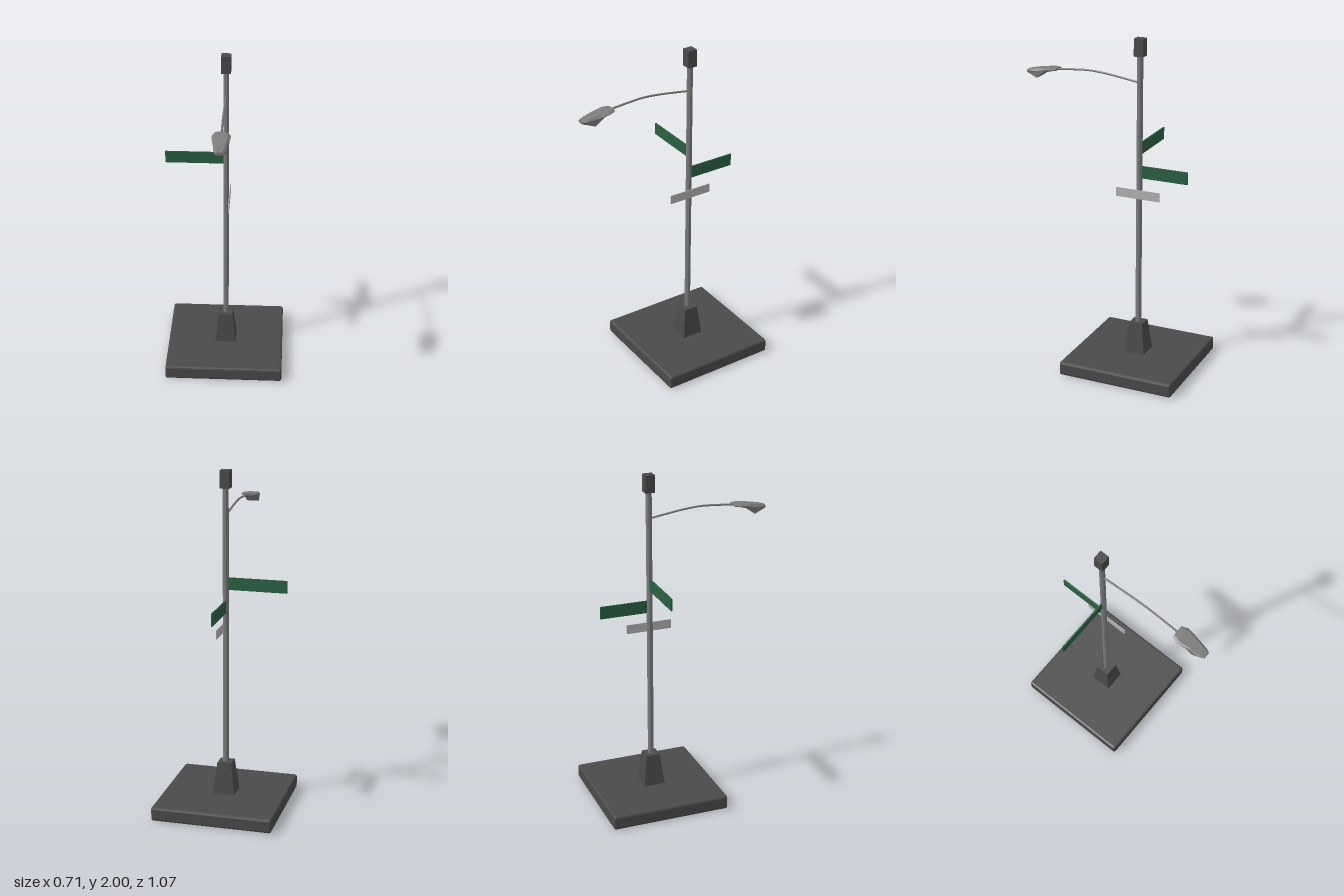
import * as THREE from 'three';
import { RoundedBoxGeometry } from 'three/addons/geometries/RoundedBoxGeometry.js';

const POST_Z = -0.178;

// faceted normals for a crisp low-poly look
function facet(geometry) {
  const g = geometry.index ? geometry.toNonIndexed() : geometry;
  g.computeVertexNormals();
  return g;
}

// closed solid from six-sided sections: [z, yTop, yMid, yBottom, halfTop, halfMid, halfBottom]
function loft(sections) {
  const rings = sections.map(([z, yt, ym, yb, wt, wm, wb]) => [
    [wb, yb, z], [wm, ym, z], [wt, yt, z], [-wt, yt, z], [-wm, ym, z], [-wb, yb, z],
  ]);
  const n = 6, last = (rings.length - 1) * n, index = [];
  for (let i = 0; i < rings.length - 1; i++) {
    for (let j = 0; j < n; j++) {
      const a = i * n + j, b = i * n + (j + 1) % n;
      index.push(a, b, a + n, b, b + n, a + n);
    }
  }
  for (let j = 1; j < n - 1; j++) {
    index.push(0, j + 1, j);
    index.push(last, last + j, last + j + 1);
  }
  const g = new THREE.BufferGeometry();
  g.setAttribute('position', new THREE.Float32BufferAttribute(rings.flat(2), 3));
  g.setIndex(index);
  return facet(g);
}

export function createModel() {
  const model = new THREE.Group();
  model.name = 'streetLight';

  const material = (name, color) => {
    const m = new THREE.MeshStandardMaterial({ color });
    m.name = name;
    return m;
  };
  const darkGrey = material('darkGrey', 0x4a4a4a);
  const steel = material('steel', 0x7c7c7c);
  const green = material('signGreen', 0x2a6040);
  const paleGrey = material('paleGrey', 0xb2b2b2);

  const add = (name, geometry, mat, x = 0, y = 0, z = 0) => {
    const mesh = new THREE.Mesh(geometry, mat);
    mesh.name = name;
    mesh.position.set(x, y, z);
    model.add(mesh);
    return mesh;
  };

  // chamfered ground slab
  add('baseSlab', facet(new RoundedBoxGeometry(0.712, 0.083, 0.712, 1, 0.012)), darkGrey, 0, 0.0415, POST_Z);

  // tapered square plinth
  const plinth = new THREE.CylinderGeometry(0.042 * Math.SQRT2, 0.066 * Math.SQRT2, 0.2, 4);
  plinth.rotateY(Math.PI / 4);
  add('plinth', facet(plinth), darkGrey, 0, 0.172, POST_Z);

  // post and its square cap
  const post = new THREE.CylinderGeometry(0.0175, 0.0175, 1.66, 8);
  post.rotateY(Math.PI / 8);
  add('post', facet(post), steel, 0, 1.085, POST_Z);
  add('postCap', new THREE.BoxGeometry(0.056, 0.102, 0.056), darkGrey, 0, 1.949, POST_Z);

  // curved lamp arm
  const armCurve = new THREE.CatmullRomCurve3([
    [-0.175, 1.744], [-0.08, 1.759], [0.04, 1.776], [0.14, 1.783], [0.24, 1.778], [0.37, 1.767],
  ].map(([z, y]) => new THREE.Vector3(0, y, z)));
  add('lampArm', new THREE.TubeGeometry(armCurve, 20, 0.006, 8), steel);

  // lamp head
  add('lampHead', loft([
    [0.335, 1.777, 1.771, 1.765, 0.026, 0.038, 0.030],
    [0.370, 1.778, 1.768, 1.760, 0.036, 0.053, 0.038],
    [0.400, 1.774, 1.765, 1.752, 0.036, 0.050, 0.038],
    [0.460, 1.767, 1.753, 1.711, 0.028, 0.040, 0.036],
    [0.510, 1.758, 1.748, 1.729, 0.020, 0.031, 0.025],
    [0.533, 1.753, 1.745, 1.736, 0.014, 0.021, 0.017],
  ]), steel);

  // sign plates
  add('sideStreetSign', new THREE.BoxGeometry(0.345, 0.072, 0.008), green, -0.185, 1.351, POST_Z);
  add('rearStreetSign', new THREE.BoxGeometry(0.008, 0.074, 0.29), green, 0, 1.215, -0.332);
  add('smallSign', new THREE.BoxGeometry(0.005, 0.054, 0.272), paleGrey, 0.02, 1.082, -0.176);

  return model;
}
